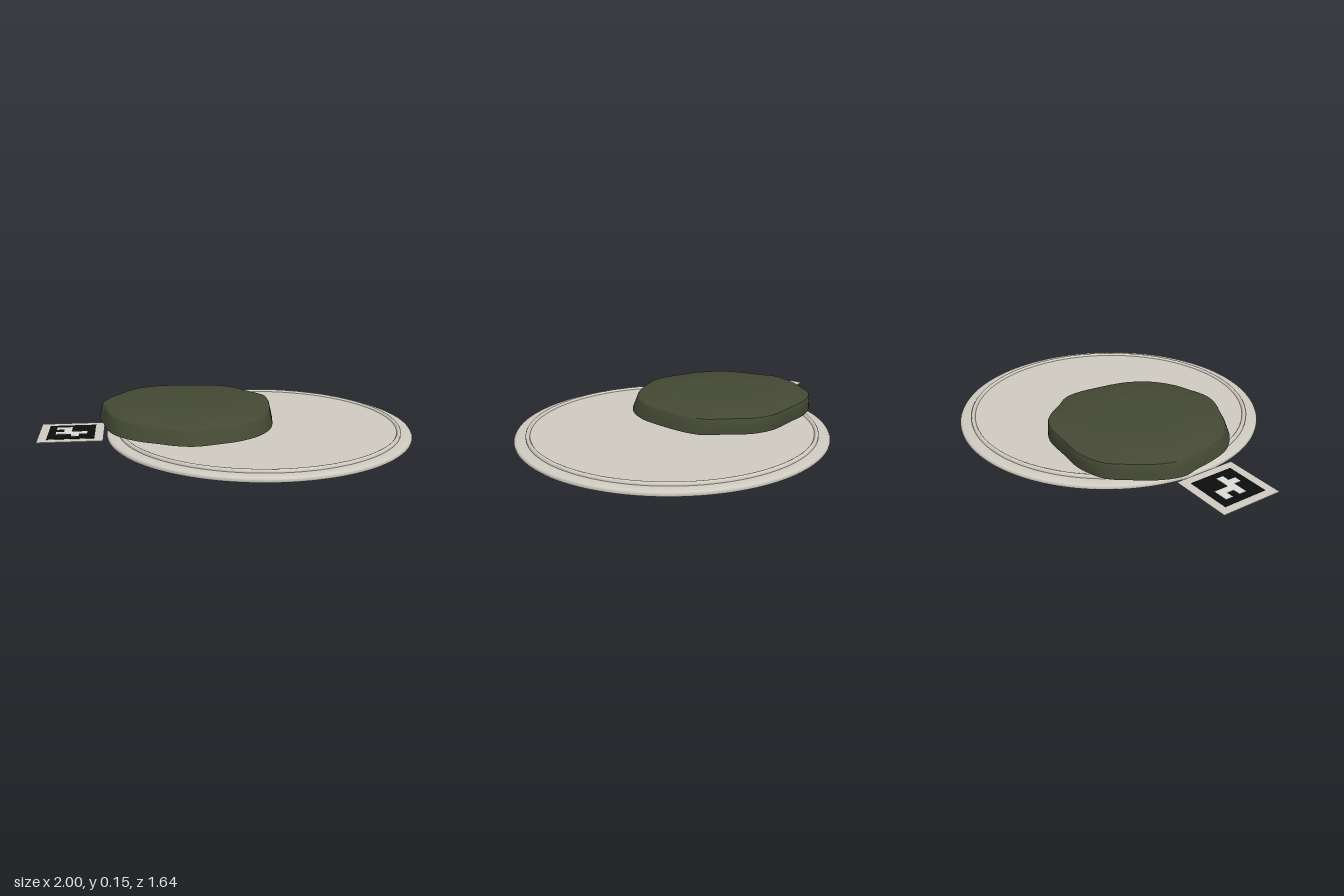
import * as THREE from 'three';
import { toCreasedNormals } from 'three/addons/utils/BufferGeometryUtils.js';

const mat = (name, color) => {
  const m = new THREE.MeshStandardMaterial({ color });
  m.name = name;
  return m;
};

// Closed skin through rings of equal point count, capped by a point at each end
function skin(bottom, rings, top) {
  const n = rings[0].length;
  const pos = [...bottom, ...rings.flat(2), ...top];
  const last = 1 + rings.length * n;
  const index = [];
  const id = (r, i) => 1 + r * n + (i % n);
  for (let i = 0; i < n; i++) {
    index.push(0, id(0, i + 1), id(0, i));
    for (let r = 0; r < rings.length - 1; r++) {
      const a = id(r, i), b = id(r, i + 1), c = id(r + 1, i), d = id(r + 1, i + 1);
      index.push(a, b, d, a, d, c);
    }
    index.push(last, id(rings.length - 1, i), id(rings.length - 1, i + 1));
  }
  const g = new THREE.BufferGeometry();
  g.setAttribute('position', new THREE.Float32BufferAttribute(pos, 3));
  g.setIndex(index);
  return toCreasedNormals(g, 0.7);
}

export function createModel() {
  const group = new THREE.Group();
  const stone = mat('warm grey', 0xd0ccc2);
  const green = mat('dark olive', 0x454a35);
  const black = mat('black', 0x0c0e0e);
  const white = mat('off white', 0xdcdcd8);

  const add = (name, geometry, material, x, y, z, parent = group) => {
    const m = new THREE.Mesh(geometry, material);
    m.name = name;
    m.position.set(x, y, z);
    parent.add(m);
    return m;
  };

  // Round plate with a rounded edge and a raised inner lip
  const profile = [
    [0, 0], [0.805, 0], [0.814, 0.004], [0.82, 0.012], [0.82, 0.019], [0.814, 0.027], [0.805, 0.03],
    [0.76, 0.031], [0.76, 0.041], [0.756, 0.046], [0.75, 0.048], [0.744, 0.046], [0.74, 0.041],
    [0.738, 0.037], [0, 0.037],
  ].map(([x, y]) => new THREE.Vector2(x, y));
  add('plate', toCreasedNormals(new THREE.LatheGeometry(profile, 128), 0.7), stone, 0.175, 0, 0);

  // Short tapered foot between plate and slab
  const cx = -0.2, cz = -0.053;
  add('foot', new THREE.CylinderGeometry(0.215, 0.18, 0.028, 64), stone, cx, 0.05, cz);

  // Irregular slab: outline, listed from the right edge round past the front
  const outline = [
    [0.262, -0.15], [0.25, 0], [0.214, 0.166], [0.14, 0.283], [0.03, 0.364], [-0.075, 0.4],
    [-0.2, 0.428], [-0.3, 0.406], [-0.37, 0.37], [-0.49, 0.305], [-0.6, 0.19], [-0.647, 0.06],
    [-0.668, -0.064], [-0.685, -0.14], [-0.652, -0.25], [-0.583, -0.353], [-0.487, -0.465],
    [-0.342, -0.515], [-0.18, -0.508], [-0.01, -0.49], [0.096, -0.43], [0.18, -0.32], [0.246, -0.235],
  ].map(([x, z]) => new THREE.Vector3(x - cx, 0, z - cz));
  const pts = new THREE.CatmullRomCurve3(outline, true).getSpacedPoints(96).slice(0, 96).reverse();
  const ring = (s, y, dz) => pts.map((p) => [p.x * s, y, p.z * s + dz]);
  const slab = skin([0, 0.062, 0], [
    ring(1, 0.062, 0), ring(0.985, 0.1, -0.009), ring(0.97, 0.134, -0.016),
    ring(0.96, 0.143, -0.017), ring(0.94, 0.147, -0.016), ring(0.5, 0.15, -0.008),
  ], [0, 0.153, 0]);
  add('slab', slab, green, cx, 0, cz);

  // Square marker card with a grid pattern
  const card = new THREE.Group();
  card.name = 'markerCard';
  card.position.set(-0.83, 0.025, -0.002);
  group.add(card);
  add('cardSheet', new THREE.BoxGeometry(0.34, 0.003, 0.34), stone, 0, 0, 0, card);
  add('cardSquare', new THREE.BoxGeometry(0.246, 0.002, 0.246), black, 0, 0.0022, 0, card);
  const cell = 0.041;
  const cells = [[1, 1], [2, 1], [2, 2], [1, 3], [2, 3], [3, 3], [4, 3], [3, 4]];
  for (const [c, r] of cells) {
    add('cardCell', new THREE.BoxGeometry(cell, 0.002, cell), white,
      (c - 2.5) * cell, 0.0037, (r - 2.5) * cell, card);
  }
  return group;
}
